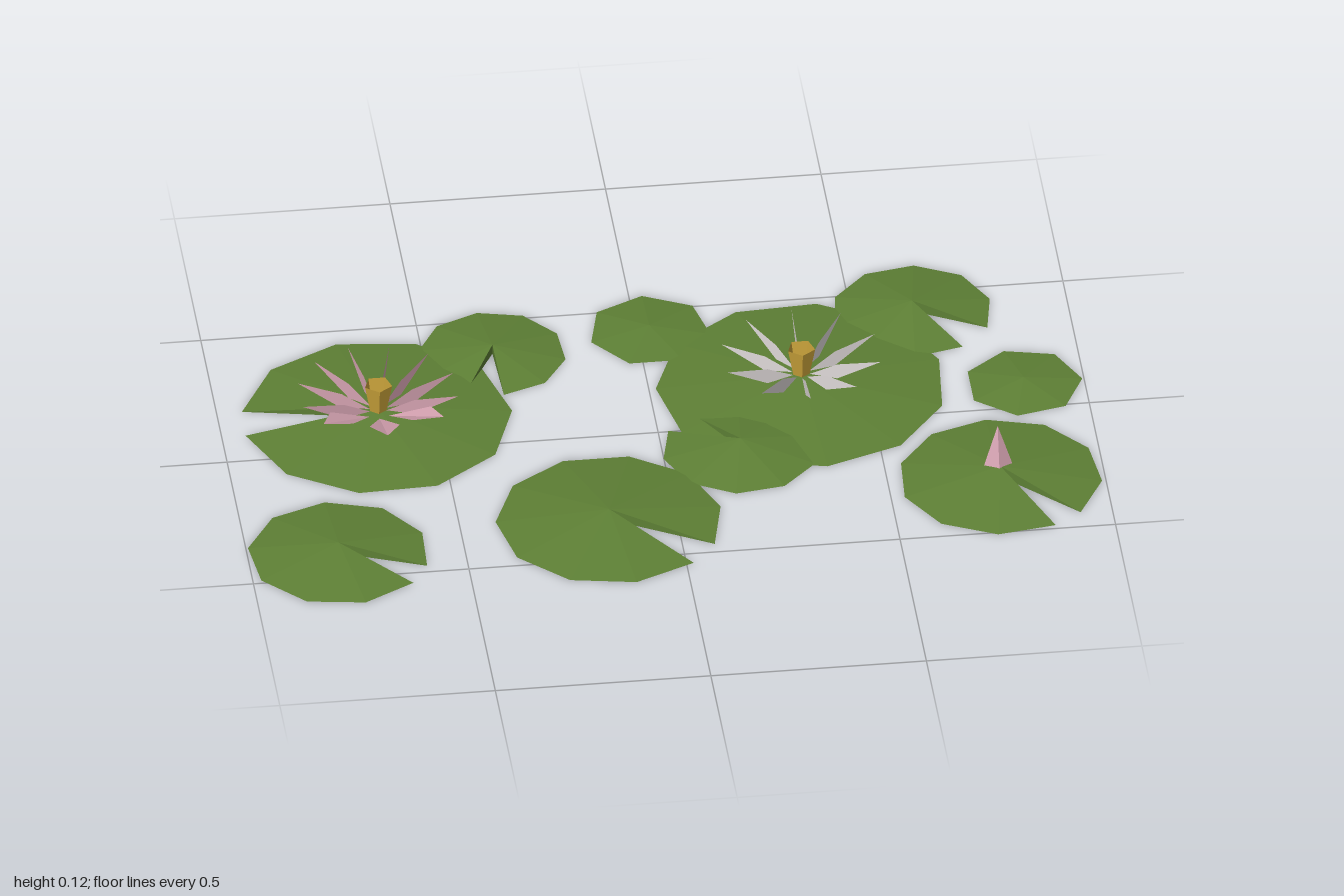
import * as THREE from 'three';

const flat = (name, color, side = THREE.FrontSide) =>
  Object.assign(new THREE.MeshStandardMaterial({ color, side, flatShading: true }), { name });
const leafGreen = flat('leafGreen', 0x5e8035);
const petalPink = flat('petalPink', 0xd6a3b2, THREE.DoubleSide);
const petalWhite = flat('petalWhite', 0xe2dcdc, THREE.DoubleSide);
const stamenGold = flat('stamenGold', 0xc9a23a, THREE.DoubleSide);

function mesh(name, geometry, material) {
  const m = new THREE.Mesh(geometry, material);
  m.name = name;
  return m;
}

function facets(triangles) {
  const g = new THREE.BufferGeometry();
  g.setAttribute('position', new THREE.Float32BufferAttribute(triangles.flat(2), 3));
  g.computeVertexNormals();
  return g;
}

// Shallow cone with a flat underside; the rim runs between two angles, leaving a notch
function padGeometry(r, h, from, to, sides) {
  const rim = [];
  for (let i = 0; i <= sides; i++) {
    const a = THREE.MathUtils.degToRad(from + (to - from) * i / sides);
    rim.push([r * Math.cos(a), 0, r * Math.sin(a)]);
  }
  const top = [0, h, 0], base = [0, 0, 0], tris = [];
  for (let i = 0; i < sides; i++) {
    tris.push([top, rim[i + 1], rim[i]], [base, rim[i], rim[i + 1]]);
  }
  // Notch walls
  if (to - from < 360) tris.push([base, top, rim[0]], [base, rim[sides], top]);
  return facets(tris);
}

// Kite-shaped petals pointing along +x: an upright blade and a broad spread one
const tip = [0.187, 0.09, 0];
function bladePetal() {
  const base = [0.02, 0.035, 0], lower = [0.085, 0.031, 0], upper = [0.085, 0.07, 0];
  return facets([[base, lower, tip], [base, tip, upper]]);
}
function spreadPetal() {
  const base = [0.03, 0.03, 0], left = [0.125, 0.075, 0.035], right = [0.125, 0.075, -0.035];
  return facets([[base, left, tip], [base, tip, right]]);
}

// Petals are placed by angle in degrees, measured from +z towards +x
function flower(name, material, x, z, bladeAngles, spreadAngles) {
  const g = new THREE.Group();
  g.name = name;
  const addPetals = (angles, geometry) => {
    for (const a of angles) {
      const petal = mesh('petal', geometry, material);
      petal.rotation.y = THREE.MathUtils.degToRad(a - 90);
      g.add(petal);
    }
  };
  addPetals(bladeAngles, bladePetal());
  addPetals(spreadAngles, spreadPetal());
  // Open five-sided stamen cup
  const cup = [[0, 0.03], [0.02, 0.036], [0.033, 0.105]].map(([r, y]) => new THREE.Vector2(r, y));
  g.add(mesh('stamen', new THREE.LatheGeometry(cup, 5), stamenGold));
  g.position.set(x, 0, z);
  return g;
}

export function createModel() {
  const model = new THREE.Group();
  model.name = 'waterLilies';

  // x, z, radius, height, rim start and end in degrees, sides
  const pads = [
    [-0.635, -0.14, 0.312, 0.03, 191, 533, 10],
    [0.35, -0.15, 0.335, 0.03, 152, 512, 11],
    [-0.155, 0.34, 0.262, 0.03, 49, 389, 10],
    [0.76, 0.275, 0.235, 0.03, 64, 405, 10],
    [-0.79, 0.4, 0.21, 0.03, 42, 381, 9],
    [0.18, 0.09, 0.182, 0.03, 238, 571, 9],
    [0.64, -0.42, 0.186, 0.03, 58, 388, 9],
    [-0.34, -0.365, 0.17, 0.025, 118, 448, 9],
    [0.03, -0.415, 0.142, 0.015, -90, 270, 7],
    [0.86, -0.1, 0.136, 0.015, 0, 360, 7],
  ];
  for (const [x, z, r, h, from, to, sides] of pads) {
    const pad = mesh('lilyPad', padGeometry(r, h, from, to, sides), leafGreen);
    pad.position.set(x, 0, z);
    model.add(pad);
  }

  const whiteAngles = Array.from({ length: 10 }, (_, i) => i * 36);
  const pinkAngles = Array.from({ length: 8 }, (_, i) => 75 + i * 30);
  model.add(flower('whiteFlower', petalWhite, 0.35, -0.15, whiteAngles, []));
  model.add(flower('pinkFlower', petalPink, -0.635, -0.12, pinkAngles, [-49, 0, 47]));

  // Closed bud
  const bud = mesh('bud', new THREE.ConeGeometry(0.037, 0.107, 5), petalPink);
  bud.position.set(0.757, 0.0715, 0.25);
  model.add(bud);

  return model;
}
